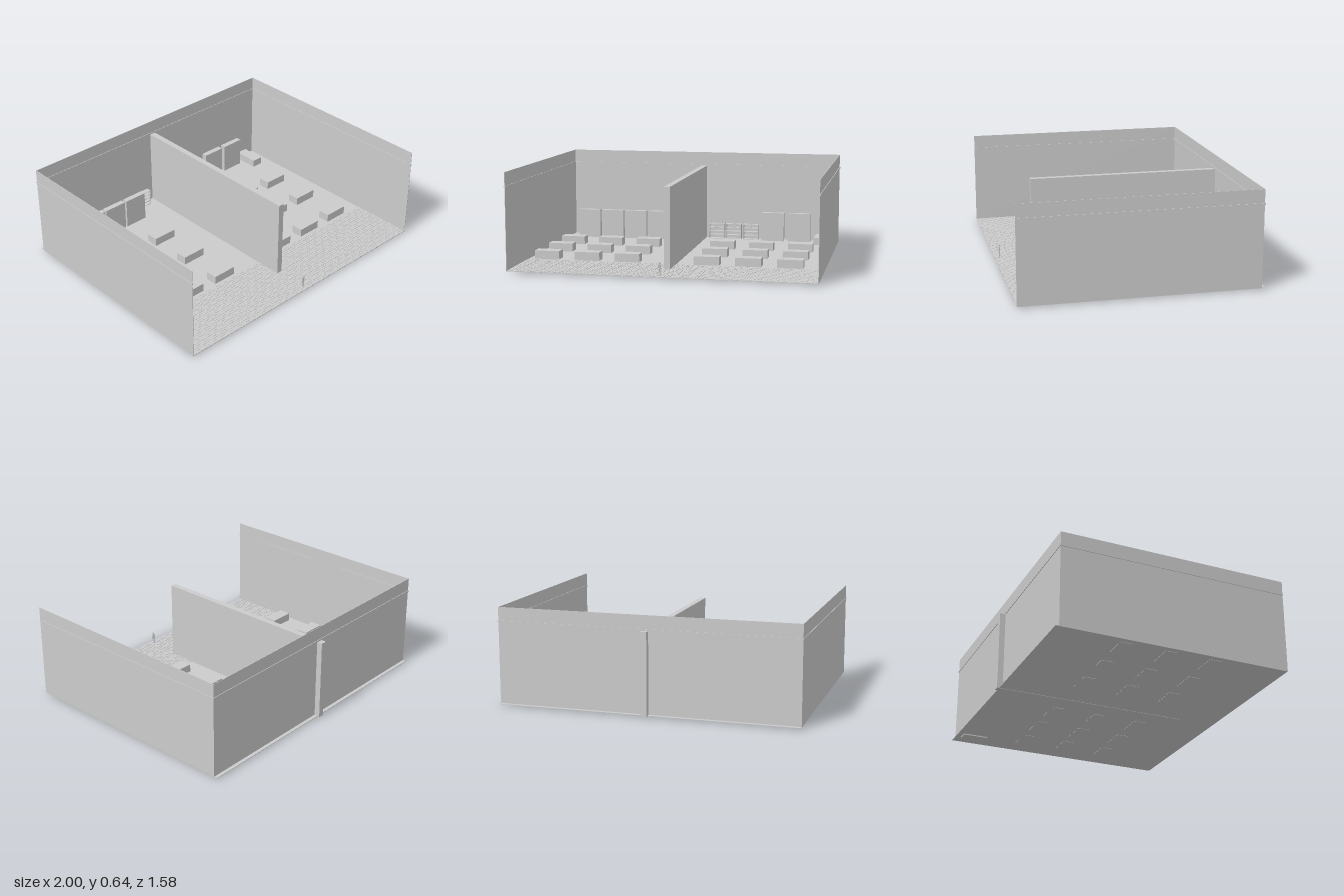
import * as THREE from 'three';
import { mergeGeometries } from 'three/addons/utils/BufferGeometryUtils.js';

const material = new THREE.MeshStandardMaterial({ color: 0xcccccc, side: THREE.DoubleSide });
const FLOOR = 0.011;

function add(parent, name, geometry) {
  const mesh = new THREE.Mesh(geometry, material);
  mesh.name = name;
  parent.add(mesh);
  return mesh;
}

// Box geometry given by its minimum and maximum on each axis
function span(x0, x1, y0, y1, z0, z1) {
  return new THREE.BoxGeometry(x1 - x0, y1 - y0, z1 - z0)
    .translate((x0 + x1) / 2, (y0 + y1) / 2, (z0 + z1) / 2);
}

// Basket-weave paving: pairs of tiles turning in alternate cells
function pavingGeometry(x0, x1, z0, z1, columns, rows) {
  const w = (x1 - x0) / columns, d = (z1 - z0) / rows, gap = 0.0012;
  const tiles = [];
  for (let i = 0; i < columns; i++) {
    for (let j = 0; j < rows; j++) {
      const x = x0 + i * w, z = z0 + j * d;
      for (let k = 0; k < 2; k++) {
        const across = (i + j) % 2 === 0;
        const tx = across ? x : x + k * w / 2;
        const tz = across ? z + k * d / 2 : z;
        const tw = across ? w : w / 2, td = across ? d / 2 : d;
        tiles.push(span(tx + gap, tx + tw - gap, FLOOR - 0.001, FLOOR + 0.002, tz + gap, tz + td - gap));
      }
    }
  }
  return mergeGeometries(tiles);
}

// Open rack with two sides and five boards
function makeRack(x0, x1) {
  const rack = new THREE.Group();
  rack.name = 'shelfRack';
  const z0 = -0.737, z1 = -0.7, top = 0.122, t = 0.003;
  for (let i = 0; i < 5; i++) {
    const y = FLOOR + i * (top - FLOOR - t) / 4;
    add(rack, 'shelfBoard', span(x0, x1, y, y + t, z0, z1));
  }
  for (const x of [x0, x1 - t]) add(rack, 'rackSide', span(x, x + t, FLOOR, top, z0, z1));
  return rack;
}

// Small standing figure
function makeFigure() {
  const figure = new THREE.Group();
  figure.name = 'standingFigure';
  for (const s of [-1, 1]) {
    add(figure, 'leg', new THREE.CylinderGeometry(0.0034, 0.0024, 0.042, 8)).position.set(s * 0.004, 0.022, 0);
    add(figure, 'foot', new THREE.BoxGeometry(0.005, 0.003, 0.013)).position.set(s * 0.004, 0.0015, 0.003);
    const arm = add(figure, 'arm', new THREE.CylinderGeometry(0.0022, 0.0018, 0.034, 8));
    arm.position.set(s * 0.0093, 0.054, 0);
    arm.rotation.z = s * 0.1;
  }
  const torso = add(figure, 'torso', new THREE.CylinderGeometry(0.0078, 0.006, 0.032, 10));
  torso.position.y = 0.057;
  torso.scale.z = 0.6;
  add(figure, 'neck', new THREE.CylinderGeometry(0.002, 0.002, 0.006, 8)).position.y = 0.075;
  const head = add(figure, 'head', new THREE.SphereGeometry(0.006, 12, 8));
  head.position.y = 0.083;
  head.scale.y = 1.2;
  return figure;
}

export function createModel() {
  const model = new THREE.Group();
  model.name = 'showroom';

  // Floor, with paving along the open front
  add(model, 'floor', span(-0.996, 0.992, 0.008, FLOOR, -0.775, 0.789));
  add(model, 'frontPaving', pavingGeometry(-0.996, 0.992, 0.355, 0.788, 56, 12));

  // Thin walls on three sides
  const top = 0.645, t = 0.003;
  add(model, 'rightWall', span(-0.996, -0.996 + t, 0.009, top, -0.752, 0.79));
  add(model, 'leftWall', span(0.992 - t, 0.992, 0.009, top, -0.752, 0.79));
  add(model, 'backWall', span(-0.996, 0.992, 0.009, top, -0.752, -0.752 + t));

  // Rail running around the walls, inside and out
  const r0 = 0.546, r1 = 0.557, out = 0.004;
  add(model, 'rightRail', span(-0.996 - out, -0.993 + out, r0, r1, -0.755, 0.79));
  add(model, 'leftRail', span(0.989 - out, 0.992 + out, r0, r1, -0.755, 0.79));
  add(model, 'backRail', span(-1, 0.996, r0, r1, -0.756, -0.745));

  // Dividing wall, passing through the back wall
  add(model, 'dividingWall', span(-0.022, 0.018, 0.006, 0.546, -0.79, 0.538));

  // Rows of display blocks
  for (const z of [-0.302, 0, 0.301]) {
    for (const x of [-0.87, -0.592, -0.318, 0.217, 0.493, 0.767]) {
      add(model, 'displayBlock', span(x - 0.085, x + 0.085, 0.006, 0.067, z - 0.041, z + 0.041));
    }
  }
  add(model, 'counter', span(0.83, 0.909, 0, 0.063, -0.736, -0.563));

  // Tall cabinets
  for (const x of [-0.84, -0.663, -0.488, -0.31]) {
    add(model, 'tallCabinet', span(x - 0.082, x + 0.082, 0.008, 0.217, -0.621, -0.583));
  }
  for (const x of [0.52, 0.711]) {
    add(model, 'tallCabinet', span(x - 0.081, x + 0.081, 0.008, 0.217, -0.711, -0.672));
  }

  // Racks by the back wall
  for (const x of [-0.19, 0.045, 0.17, 0.298]) model.add(makeRack(x, x + 0.113));

  // Small goods on the racks
  for (const [x, y] of [[0.056, 0.122], [0.138, 0.122], [0.355, 0.122], [0.31, 0.068]]) {
    add(model, 'coneOrnament', new THREE.ConeGeometry(0.008, 0.022, 8)).position.set(x, y + 0.011, -0.715);
  }
  for (const [x, y] of [[0.095, 0.095], [0.23, 0.122], [0.235, 0.095], [0.27, 0.095], [0.355, 0.095]]) {
    add(model, 'ballOrnament', new THREE.SphereGeometry(0.005, 8, 6)).position.set(x, y + 0.005, -0.715);
  }

  // Figure at the entrance
  const figure = makeFigure();
  figure.position.set(-0.002, FLOOR + 0.002, 0.755);
  model.add(figure);

  return model;
}
